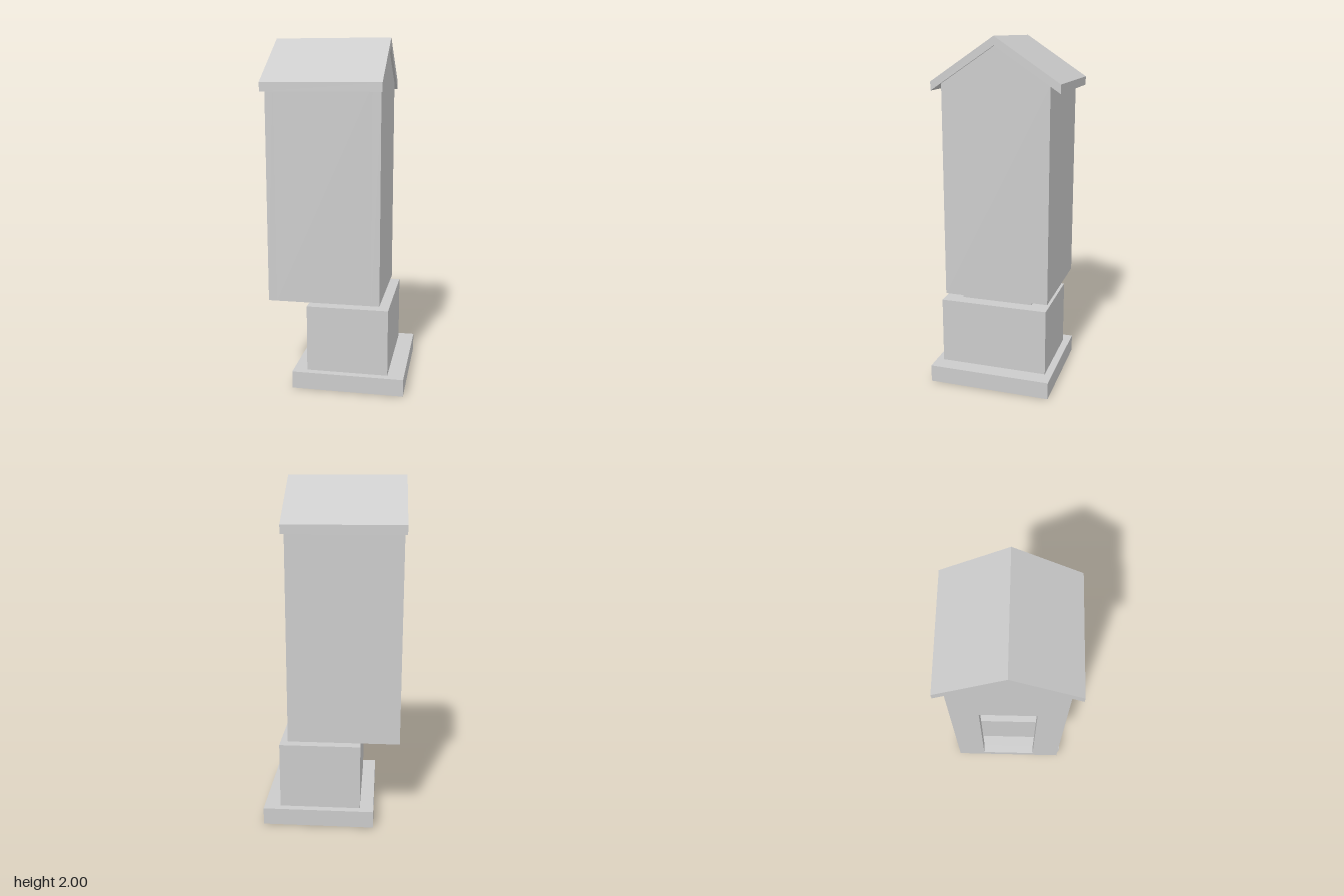
import * as THREE from 'three';

const material = new THREE.MeshStandardMaterial({ color: 0xcccccc, flatShading: true });

const FLOOR = 0.51, EAVE = 1.745, RIDGE = 1.95, HALF = 0.31; // body section
const WALL = 0.047, X0 = -0.39, X1 = 0.255;                  // body length

function polygon(points) {
  return new THREE.Shape(points.map(([z, y]) => new THREE.Vector2(z, y)));
}

// Extrude a (z, y) section along x
function extrudeX(name, shape, x0, x1) {
  const geometry = new THREE.ExtrudeGeometry(shape, { depth: x1 - x0, bevelEnabled: false });
  geometry.rotateY(Math.PI / 2).translate(x0, 0, 0);
  const mesh = new THREE.Mesh(geometry, material);
  mesh.name = name;
  return mesh;
}

function box(name, x0, x1, y0, y1, halfZ) {
  const mesh = new THREE.Mesh(new THREE.BoxGeometry(x1 - x0, y1 - y0, halfZ * 2), material);
  mesh.position.set((x0 + x1) / 2, (y0 + y1) / 2, 0);
  mesh.name = name;
  return mesh;
}

const gable = () => polygon([[-HALF, FLOOR], [HALF, FLOOR], [HALF, EAVE], [0, RIDGE], [-HALF, EAVE]]);

export function createModel() {
  const model = new THREE.Group();
  model.name = 'gabledPillar';

  // Stepped foot
  model.add(box('plinth', -0.245, 0.4, 0, 0.1, 0.356));
  model.add(box('pedestal', -0.165, 0.305, 0.1, 0.487, 0.314));
  model.add(box('neck', -0.085, 0.23, 0.487, FLOOR, 0.21));

  // Hollow body, open underneath
  const body = new THREE.Group();
  body.name = 'body';
  const cavity = 0.192, ceiling = 1.69;
  const shell = polygon([
    [-HALF, FLOOR], [-cavity, FLOOR], [-cavity, ceiling], [cavity, ceiling], [cavity, FLOOR],
    [HALF, FLOOR], [HALF, EAVE], [0, RIDGE], [-HALF, EAVE],
  ]);
  body.add(extrudeX('sideWalls', shell, X0 + WALL, X1 - WALL));
  body.add(extrudeX('closedGable', gable(), X1 - WALL, X1));

  // Gable with the tall opening
  const openGable = gable();
  const d = 0.155;
  openGable.holes.push(polygon([[-d, 0.555], [-d, 1.4], [d, 1.4], [d, 0.555]]));
  body.add(extrudeX('openGable', openGable, X0, X0 + WALL));
  model.add(body);

  // Pitched roof slab
  const roof = polygon([[-0.369, 1.705], [0, 1.95], [0.369, 1.705], [0.369, 1.755], [0, 2], [-0.369, 1.755]]);
  model.add(extrudeX('roof', roof, -0.402, 0.268));

  return model;
}
